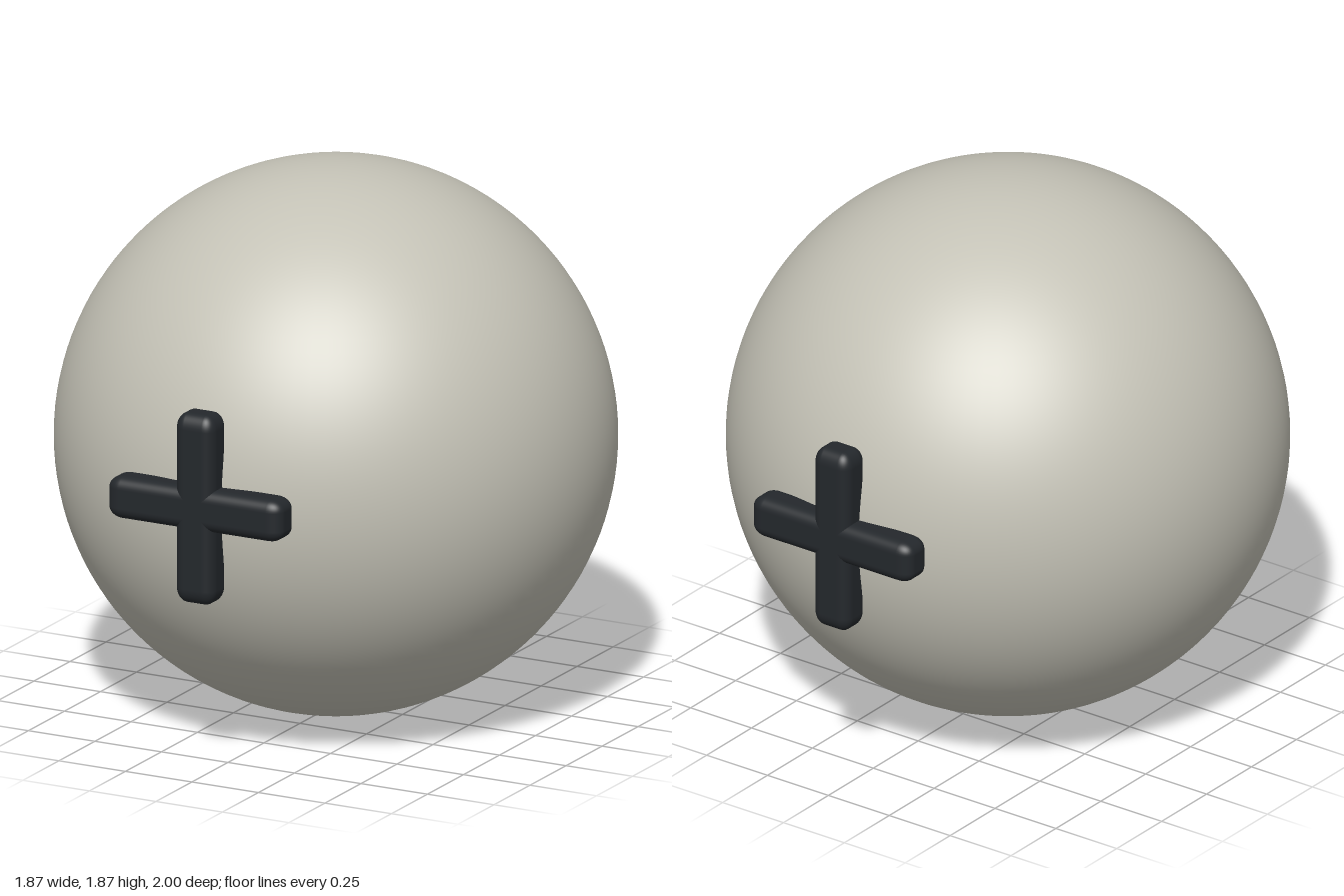
import * as THREE from 'three';
import { RoundedBoxGeometry } from 'three/addons/geometries/RoundedBoxGeometry.js';

const R = 0.933;

export function createModel() {
  const model = new THREE.Group();
  model.name = 'ballWithCrosses';
  const shell = new THREE.MeshStandardMaterial({ color: 0xc4c2b6 });
  const dark = new THREE.MeshStandardMaterial({ color: 0x24282c });

  // Smooth round body resting on the ground
  const body = new THREE.Mesh(new THREE.SphereGeometry(R, 96, 64), shell);
  body.name = 'body';
  body.position.y = R;
  model.add(body);

  // Soft-edged bar, stretched so its end rounding is longer than its side rounding
  const barGeometry = new RoundedBoxGeometry(0.5, 0.145, 0.12, 5, 0.04);
  barGeometry.scale(1.31, 1, 1);

  // One plus-shaped cross on the front and one on the back
  for (const side of [1, -1]) {
    const cross = new THREE.Group();
    cross.name = side > 0 ? 'frontCross' : 'backCross';
    cross.position.set(0, R + 0.003, side * 0.94);
    const across = new THREE.Mesh(barGeometry, dark);
    across.name = 'horizontalBar';
    const upright = new THREE.Mesh(barGeometry, dark);
    upright.name = 'verticalBar';
    upright.rotation.z = Math.PI / 2;
    cross.add(across, upright);
    model.add(cross);
  }
  return model;
}
